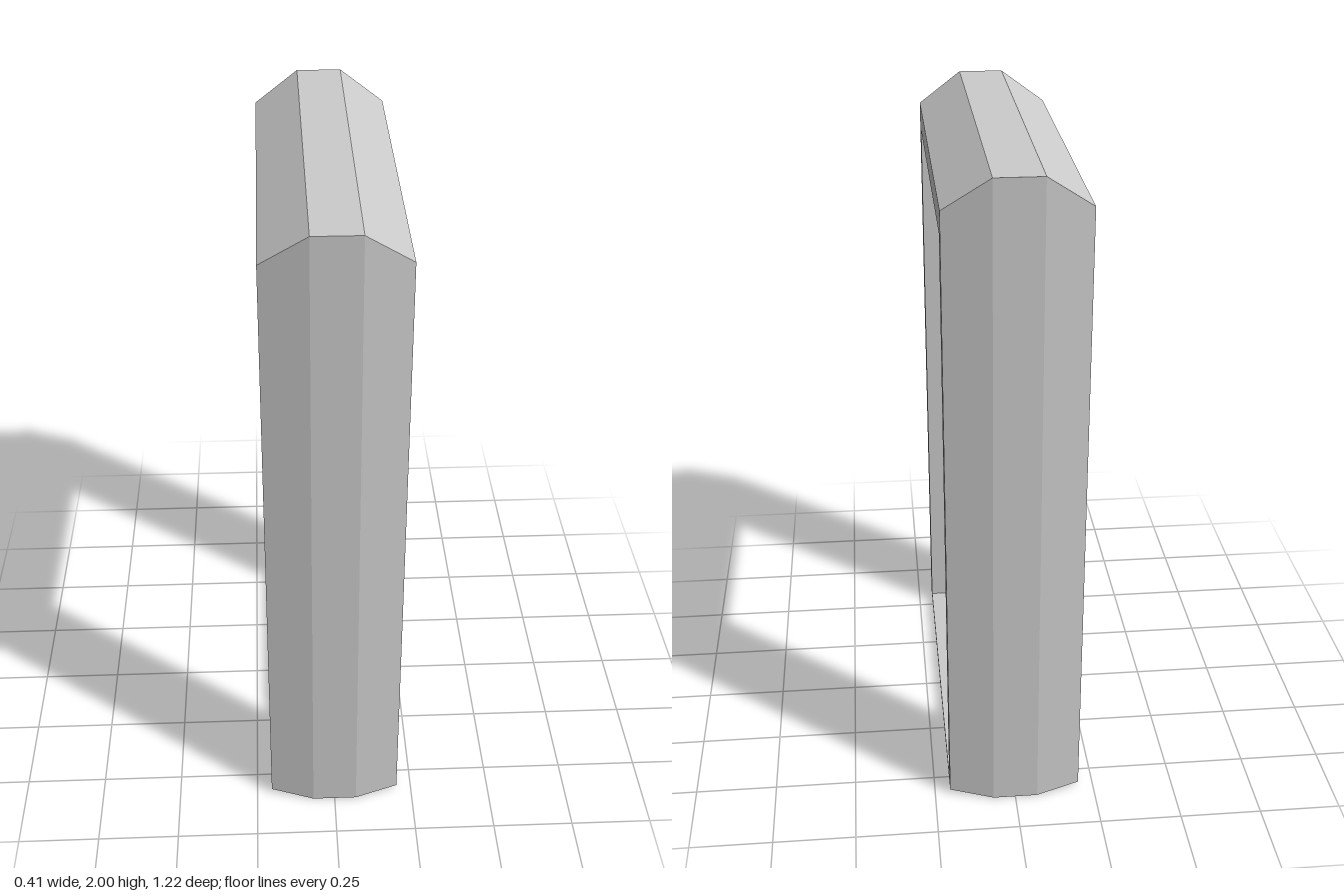
import * as THREE from 'three';

// Frame profile across the thickness: [x, half depth in z, bottom y, top y]
const PROFILE = [
  [-0.203, 0.579, 0.015, 1.907],
  [-0.069, 0.612, 0, 2],
  [0.069, 0.612, 0, 2],
  [0.203, 0.579, 0.015, 1.907],
  [0.203, 0.528, 0.03, 1.83], // opening
  [-0.203, 0.528, 0.03, 1.83],
];

// The four mitred corners of the frame at one profile point
const corners = ([x, z, bottom, top]) => [
  [x, bottom, -z], [x, bottom, z], [x, top, z], [x, top, -z],
];

// One side of the frame, running between two neighbouring corners
function makeSide(name, index, material) {
  const next = (index + 1) % 4;
  const positions = [];
  PROFILE.forEach((point, i) => {
    const here = corners(point);
    const there = corners(PROFILE[(i + 1) % PROFILE.length]);
    const [a, b, c, d] = [here[index], there[index], there[next], here[next]];
    positions.push(...a, ...b, ...c, ...a, ...c, ...d);
  });
  const geometry = new THREE.BufferGeometry();
  geometry.setAttribute('position', new THREE.Float32BufferAttribute(positions, 3));
  geometry.computeVertexNormals();
  const mesh = new THREE.Mesh(geometry, material);
  mesh.name = name;
  return mesh;
}

export function createModel() {
  const group = new THREE.Group();
  group.name = 'doorFrame';
  const material = new THREE.MeshStandardMaterial({ color: 0xcccccc, flatShading: true });
  ['sill', 'frontJamb', 'header', 'backJamb'].forEach((name, i) => {
    group.add(makeSide(name, i, material));
  });
  return group;
}
